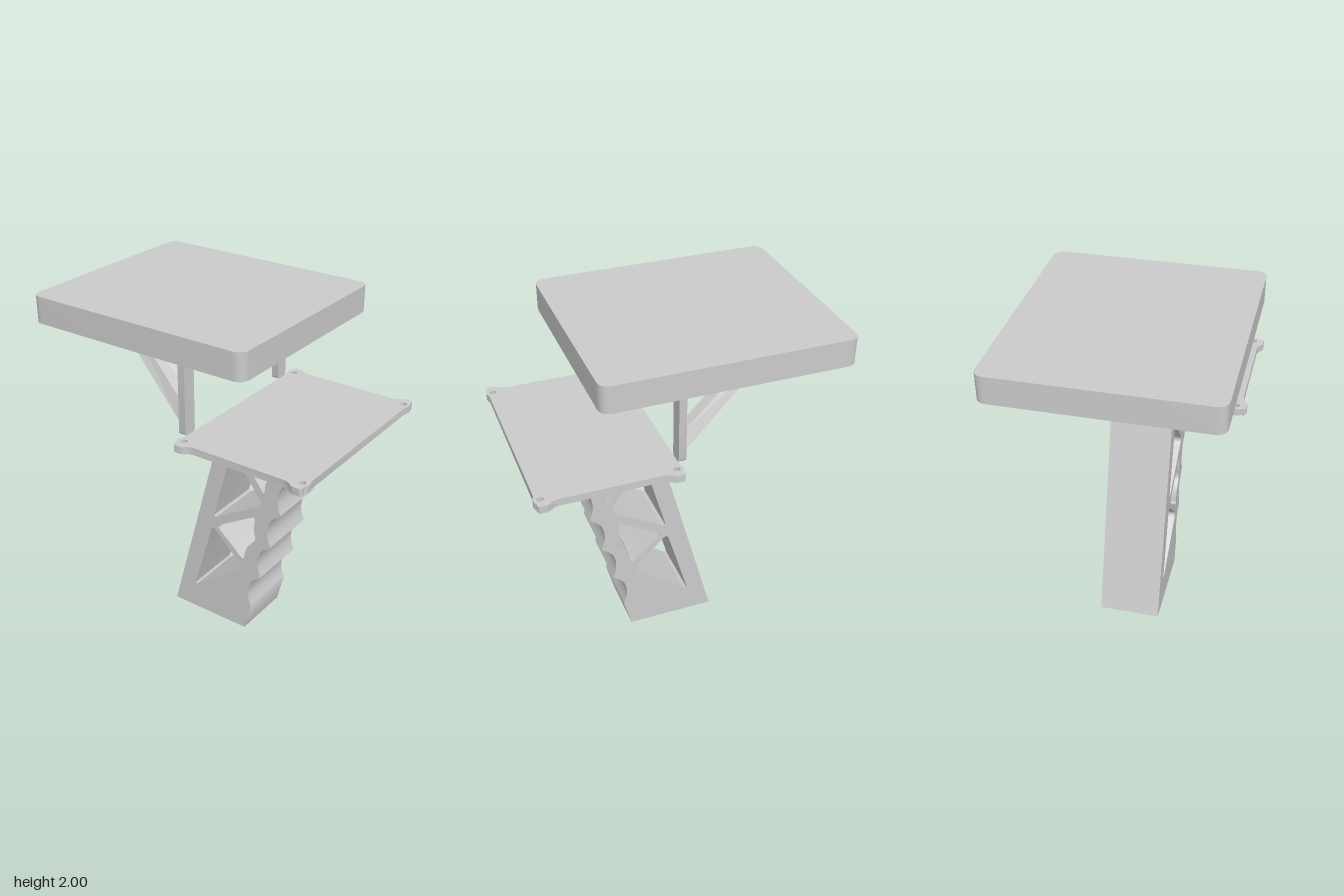
import * as THREE from 'three';
import { toCreasedNormals } from 'three/addons/utils/BufferGeometryUtils.js';

const material = new THREE.MeshStandardMaterial({ color: 0xcccccc });
const v2 = ([x, y]) => new THREE.Vector2(x, y);

function addMesh(group, name, geometry) {
  const mesh = new THREE.Mesh(geometry, material);
  mesh.name = name;
  group.add(mesh);
  return mesh;
}

// Closed path through corners, each rounded by cutting back a distance d
function rounded(corners, d, Type = THREE.Path) {
  const path = new Type();
  const n = corners.length;
  corners.map(v2).forEach((p, i, all) => {
    const cut = (q) => {
      const dir = q.clone().sub(p);
      return p.clone().addScaledVector(dir, Math.min(d / dir.length(), 0.45));
    };
    const a = cut(all[(i + n - 1) % n]), b = cut(all[(i + 1) % n]);
    if (i === 0) path.moveTo(a.x, a.y); else path.lineTo(a.x, a.y);
    path.quadraticCurveTo(p.x, p.y, b.x, b.y);
  });
  path.closePath();
  return path;
}

function extrude(shape, depth) {
  const g = new THREE.ExtrudeGeometry(shape, { depth, bevelEnabled: false, curveSegments: 10 });
  return toCreasedNormals(g, 0.6);
}

// Slab lying flat: shape y becomes z, top face at the given height
function slab(shape, thickness, x, top) {
  return extrude(shape, thickness).rotateX(Math.PI / 2).translate(x, top, 0);
}

// Grip: leaning profile with four finger scallops and truss cut-outs
function gripGeometry() {
  const shape = new THREE.Shape();
  shape.moveTo(-0.275, 0);
  shape.lineTo(0.243, 0);
  shape.lineTo(0.288, 0.175);
  const scallop = [[-0.016, 0.05], [-0.021, 0.1], [-0.008, 0.16], [0.02, 0.199], [0.05, 0.222], [0.0625, 0.235]];
  for (let i = 0; i < 4; i++) {
    const x = 0.288 + i * 0.0625, y = 0.175 + i * 0.235;
    shape.splineThru(scallop.map(([dx, dy]) => v2([x + dx, y + dy])));
  }
  shape.lineTo(0.558, 1.195);
  shape.quadraticCurveTo(0.562, 1.215, 0.585, 1.215);
  shape.lineTo(0.65, 1.215);
  shape.lineTo(0.65, 1.34);
  shape.lineTo(0.083, 1.34);
  shape.closePath();

  shape.holes.push(
    rounded([[0.185, 1.215], [0.475, 1.215], [0.455, 1.15], [0.395, 1.1], [0.37, 1.04], [0.37, 0.975]], 0.03),
    rounded([[0.15, 1.195], [0.36, 0.905], [0.015, 0.7]], 0.04),
    rounded([[0.04, 0.655], [0.31, 0.815], [0.3, 0.72], [0.318, 0.65], [0.262, 0.6], [0.24, 0.545], [0.235, 0.485]], 0.03),
    rounded([[0.01, 0.645], [0.23, 0.425], [-0.128, 0.158]], 0.04)
  );
  return extrude(shape, 0.36).translate(0, 0, -0.18);
}

// Lower plate: one quarter outline mirrored to all four eared corners
function lowerPlateGeometry() {
  const quarter = [[0.39, 0.495], [0.398, 0.515], [0.4, 0.53], [0.397, 0.55], [0.39, 0.56], [0.39, 0.58],
    [0.382, 0.59], [0.34, 0.59], [0.328, 0.585], [0.305, 0.567], [0.275, 0.56]];
  const outline = [];
  for (const [sx, sz] of [[1, 1], [-1, 1], [-1, -1], [1, -1]]) {
    const pts = quarter.map(([x, z]) => v2([x * sx, z * sz]));
    outline.push(...(sx * sz > 0 ? pts : pts.reverse()));
  }
  const shape = new THREE.Shape(outline);
  for (const sx of [-1, 1]) for (const sz of [-1, 1]) {
    shape.holes.push(new THREE.Path().absarc(sx * 0.362, sz * 0.53, 0.018, 0, Math.PI * 2, true));
  }
  return slab(shape, 0.042, 0.455, 1.382);
}

// Post: rounded foot, small fillets where it meets the upper slab
function postGeometry(side) {
  const w = 0.04, f = 0.03, r = 0.02, y0 = 1.38, y1 = 1.85;
  const s = new THREE.Shape();
  s.moveTo(-w + r, y0);
  s.lineTo(w - r, y0);
  s.quadraticCurveTo(w, y0, w, y0 + r);
  s.lineTo(w, y1 - f);
  s.quadraticCurveTo(w, y1, w + f, y1);
  s.lineTo(-w - f, y1);
  s.quadraticCurveTo(-w, y1, -w, y1 - f);
  s.lineTo(-w, y0 + r);
  s.quadraticCurveTo(-w, y0, -w + r, y0);
  return extrude(s, 0.042).rotateY(-Math.PI / 2).translate(0.064, 0, side * 0.44);
}

// Brace: box sheared from the post up and inward to the slab underside
function braceGeometry(side) {
  const g = new THREE.BoxGeometry(1, 1, 1).toNonIndexed();
  const p = g.attributes.position;
  for (let i = 0; i < p.count; i++) {
    const upper = p.getX(i) > 0, dz = p.getZ(i) * 0.07;
    if (p.getY(i) > 0) p.setXYZ(i, upper ? -0.43 : -0.54, 1.85, side * 0.265 + dz);
    else p.setXYZ(i, 0.03, upper ? 1.54 : 1.45, side * (upper ? 0.413 : 0.445) + dz);
  }
  g.computeVertexNormals();
  return g;
}

export function createModel() {
  const model = new THREE.Group();
  model.name = 'gripStand';

  addMesh(model, 'grip', gripGeometry());
  addMesh(model, 'lowerPlate', lowerPlateGeometry());

  const top = rounded([[-0.685, -0.605], [0.685, -0.605], [0.685, 0.605], [-0.685, 0.605]], 0.065, THREE.Shape);
  addMesh(model, 'upperSlab', slab(top, 0.152, -0.175, 2));

  for (const [side, label] of [[1, 'front'], [-1, 'back']]) {
    addMesh(model, label + 'Post', postGeometry(side));
    addMesh(model, label + 'Brace', braceGeometry(side));
  }
  return model;
}
